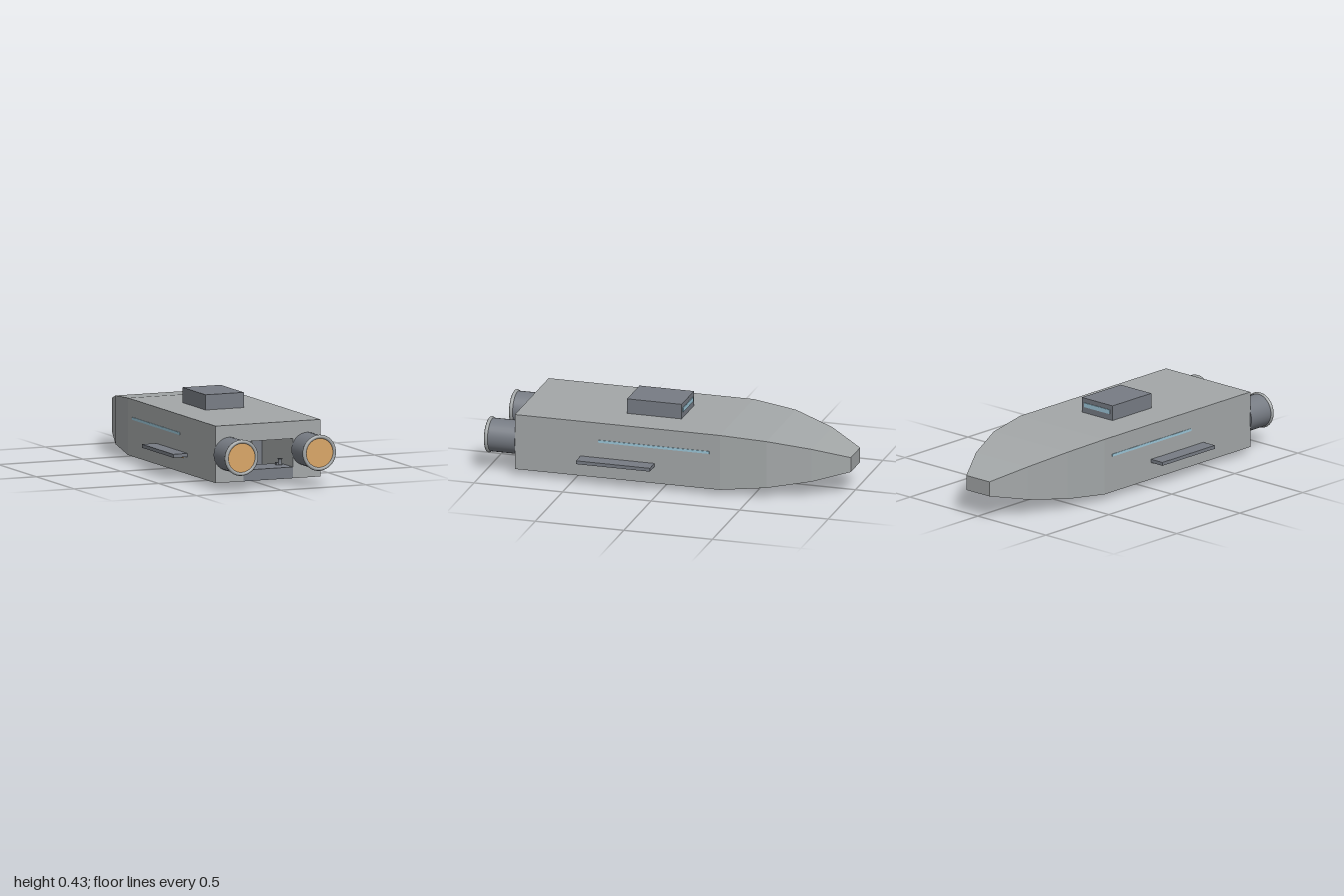
import * as THREE from 'three';

const mat = (name, color, extra = {}) => {
  const m = new THREE.MeshStandardMaterial({ color, ...extra });
  m.name = name;
  return m;
};

export function createModel() {
  const hull = mat('hullGrey', 0xa3a7a8);
  const dark = mat('darkGrey', 0x777c84);
  const glow = mat('engineOrange', 0xd9a566);
  const glass = mat('windowBlue', 0x9cc6d8);

  const ship = new THREE.Group();
  ship.name = 'ship';

  const add = (name, geometry, material, x = 0, y = 0, z = 0, parent = ship) => {
    const mesh = new THREE.Mesh(geometry, material);
    mesh.name = name;
    mesh.position.set(x, y, z);
    parent.add(mesh);
    return mesh;
  };
  // Box given by its limits on each axis
  const box = (name, material, [x0, x1], [y0, y1], [z0, z1], parent = ship) =>
    add(name, new THREE.BoxGeometry(x1 - x0, y1 - y0, z1 - z0), material,
      (x0 + x1) / 2, (y0 + y1) / 2, (z0 + z1) / 2, parent);

  // Main hull
  box('mainHull', hull, [-0.31, 0.31], [0.034, 0.345], [-0.33, 0.41]);

  // Faceted nose lofted through rectangles: z, half width, bottom, top
  const sections = [
    [-0.33, 0.31, 0.034, 0.345],
    [-0.58, 0.272, 0.058, 0.323],
    [-0.81, 0.19, 0.09, 0.275],
    [-1.0, 0.085, 0.13, 0.212],
  ].map(([z, w, b, t]) => [[-w, b, z], [w, b, z], [w, t, z], [-w, t, z]]);
  const points = [];
  const quad = (a, b, c, d) => points.push(...a, ...b, ...c, ...a, ...c, ...d);
  for (let i = 0; i < sections.length - 1; i++) {
    const near = sections[i], far = sections[i + 1];
    for (let k = 0; k < 4; k++) {
      const n = (k + 1) % 4;
      quad(near[k], far[k], far[n], near[n]);
    }
  }
  const tip = sections[sections.length - 1];
  quad(tip[3], tip[2], tip[1], tip[0]);
  const noseGeometry = new THREE.BufferGeometry();
  noseGeometry.setAttribute('position', new THREE.Float32BufferAttribute(points, 3));
  noseGeometry.computeVertexNormals();
  add('nose', noseGeometry, hull);

  // Open rear bay between the engine blocks
  box('bayRoof', hull, [-0.146, 0.146], [0.25, 0.345], [0.41, 0.828]);
  box('bayFloor', dark, [-0.146, 0.146], [0.034, 0.095], [0.66, 0.828]);
  box('bayBulkhead', dark, [-0.146, 0.146], [0.036, 0.25], [0.41, 0.418]);

  // Hoist hanging from the bay roof
  box('hoistRail', hull, [-0.082, 0.082], [0.242, 0.25], [0.6, 0.63]);
  box('hoistArm', hull, [-0.004, 0.004], [0.174, 0.242], [0.611, 0.619]);
  box('hoistHook', dark, [-0.011, 0.011], [0.171, 0.175], [0.604, 0.626]);

  // Cargo on the bay floor
  const drum = [[0, 0], [0.013, 0], [0.013, 0.004], [0.01, 0.006], [0.01, 0.029],
    [0.013, 0.031], [0.013, 0.035], [0, 0.035]].map(p => new THREE.Vector2(...p));
  add('cargoDrum', new THREE.LatheGeometry(drum, 16), dark, 0.118, 0.095, 0.72);
  box('cargoCase', dark, [0.095, 0.104], [0.095, 0.11], [0.71, 0.73]);

  // Dorsal cabin with a window facing the nose, and the keel
  box('dorsalCabin', dark, [-0.113, 0.113], [0.345, 0.428], [-0.053, 0.255]);
  box('cabinWindow', glass, [-0.095, 0.095], [0.378, 0.402], [-0.057, -0.052]);
  box('keel', dark, [-0.061, 0.061], [0, 0.034], [-0.32, 0.41]);

  // Mirrored side parts
  for (const s of [1, -1]) {
    const side = new THREE.Group();
    side.name = s > 0 ? 'leftSide' : 'rightSide';
    ship.add(side);
    const span = (a, b) => (s > 0 ? [a, b] : [-b, -a]);

    box('engineBlock', hull, span(0.146, 0.31), [0.034, 0.345], [0.41, 0.828], side);
    box('fin', dark, span(0.31, 0.394), [0.128, 0.147], [0.04, 0.457], side);
    box('windowStrip', glass, span(0.308, 0.313), [0.234, 0.248], [-0.27, 0.357], side);
    box('markerLight', glow, span(0.308, 0.314), [0.114, 0.122], [0.325, 0.405], side);

    // Engine nozzle, rim and glowing exhaust
    const nozzle = new THREE.CylinderGeometry(0.091, 0.091, 0.16, 32).rotateX(Math.PI / 2);
    add('nozzle', nozzle, dark, s * 0.23, 0.189, 0.906, side);
    add('nozzleRim', new THREE.TorusGeometry(0.088, 0.0105, 10, 40), hull,
      s * 0.23, 0.189, 0.9895, side);
    const exhaust = new THREE.CylinderGeometry(0.08, 0.08, 0.008, 32).rotateX(Math.PI / 2);
    add('exhaust', exhaust, glow, s * 0.23, 0.189, 0.99, side);
  }
  return ship;
}
